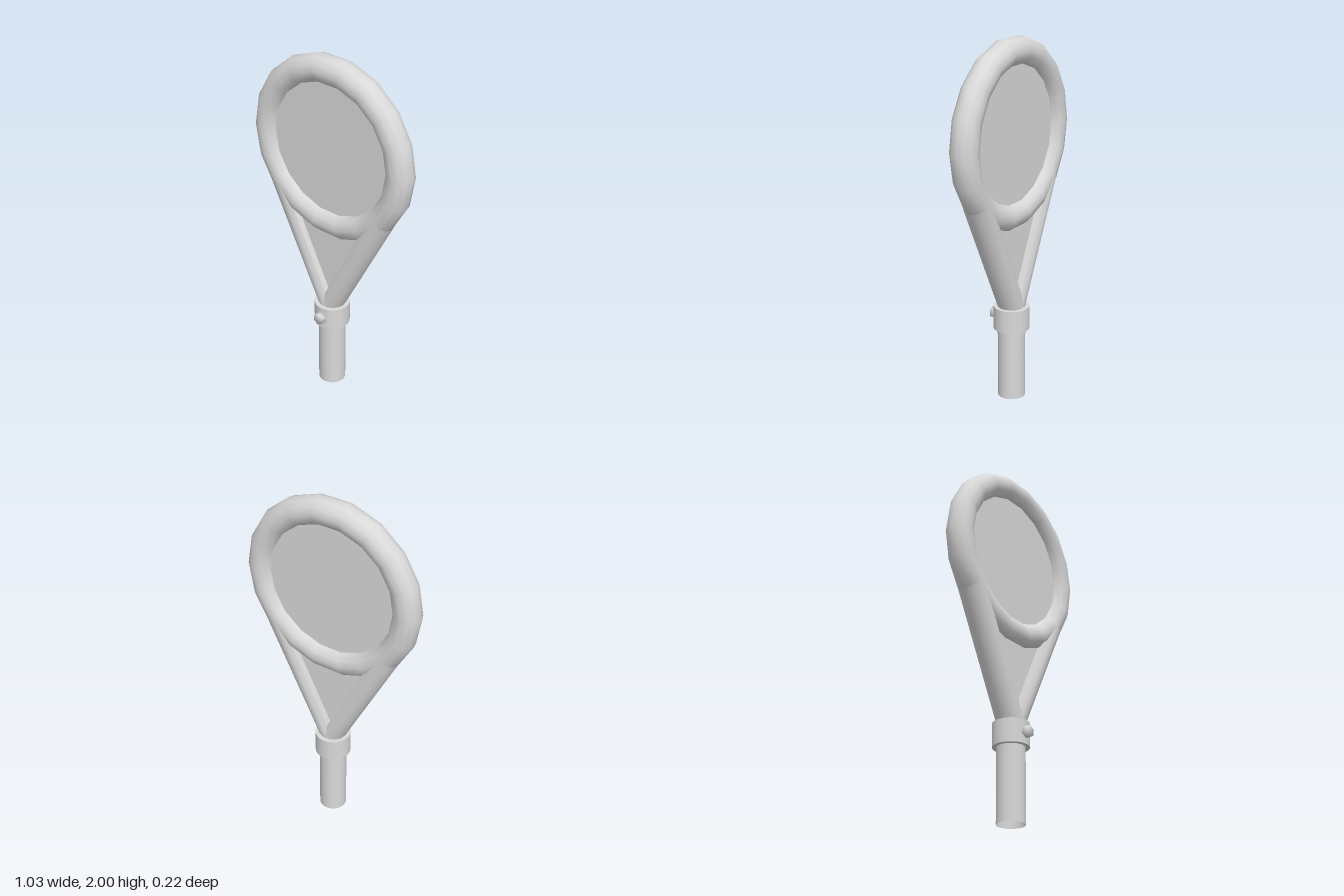
import * as THREE from 'three';
import { mergeVertices } from 'three/addons/utils/BufferGeometryUtils.js';

export function createModel() {
  const group = new THREE.Group();
  const grey = new THREE.MeshStandardMaterial({ color: 0xd9d9d9, side: THREE.DoubleSide });
  grey.name = 'light grey';

  const zMid = -0.012, tubeR = 0.075, ringR = 0.44, ringY = 1.493, segments = 18;
  const sheetHalf = 0.025; // half thickness of the filling sheets

  const add = (name, geometry, x, y, z) => {
    const mesh = new THREE.Mesh(geometry, grey);
    mesh.name = name;
    mesh.position.set(x, y, z);
    group.add(mesh);
    return mesh;
  };

  // Round head frame
  add('headFrame', new THREE.TorusGeometry(ringR, tubeR, 12, segments), 0, ringY, zMid);

  // Arms: round outside, flat inside, running from the collar into a joint of the head frame
  const joint = THREE.MathUtils.degToRad(-40);
  const out = new THREE.Vector2(Math.cos(joint), Math.sin(joint));
  const foot = new THREE.Vector2(0, 0.53);
  const tip = new THREE.Vector2(ringR * out.x, ringY + ringR * out.y);
  const cut = Math.acos(-0.57); // angle at which the round side meets the flat side

  const armSurface = (side, from, to, steps) => {
    const geometry = new THREE.PlaneGeometry(1, 1, steps, 1);
    const pos = geometry.attributes.position;
    for (let i = 0; i < pos.count; i++) {
      const angle = THREE.MathUtils.lerp(from, to, pos.getX(i) + 0.5);
      const t = pos.getY(i) + 0.5;
      const reach = tubeR * Math.cos(angle);
      const x = THREE.MathUtils.lerp(foot.x + reach, tip.x + reach * out.x, t);
      const y = THREE.MathUtils.lerp(foot.y, tip.y + reach * out.y, t);
      pos.setXYZ(i, side * x, y, -side * tubeR * Math.sin(angle));
    }
    geometry.computeVertexNormals();
    return geometry;
  };
  for (const side of [1, -1]) {
    const name = side > 0 ? 'leftArm' : 'rightArm';
    add(name, armSurface(side, -cut, cut, 10), 0, 0, zMid);
    add(name + 'InnerWall', armSurface(side, cut, 2 * Math.PI - cut, 1), 0, 0, zMid);
  }

  // Filling sheets of the head and the throat, each with a front and a back face
  const throat = new THREE.Shape([
    foot, tip, new THREE.Vector2(0, 1.06), new THREE.Vector2(-tip.x, tip.y),
  ]);
  for (const side of [1, -1]) {
    const place = side > 0 ? 'Front' : 'Back';
    const z = zMid + side * sheetHalf;
    const head = add('headSheet' + place, new THREE.CircleGeometry(ringR, segments), 0, ringY, z);
    const fill = add('throatSheet' + place, new THREE.ShapeGeometry(throat), 0, 0, z);
    if (side < 0) head.rotation.y = fill.rotation.y = Math.PI;
  }

  // Open tubular handle and solid collar
  add('handle', new THREE.CylinderGeometry(0.076, 0.076, 0.53, 24, 1, true), 0, 0.265, zMid);
  add('collar', new THREE.CylinderGeometry(0.099, 0.099, 0.13, 24), 0, 0.47, zMid);

  // Hexagonal bolt with softened shading
  let hex = new THREE.CylinderGeometry(0.034, 0.034, 0.04, 6);
  hex.deleteAttribute('normal');
  hex.deleteAttribute('uv');
  hex = mergeVertices(hex);
  hex.computeVertexNormals();
  add('bolt', hex, 0, 0.47, 0.09).rotation.x = Math.PI / 2;

  return group;
}
